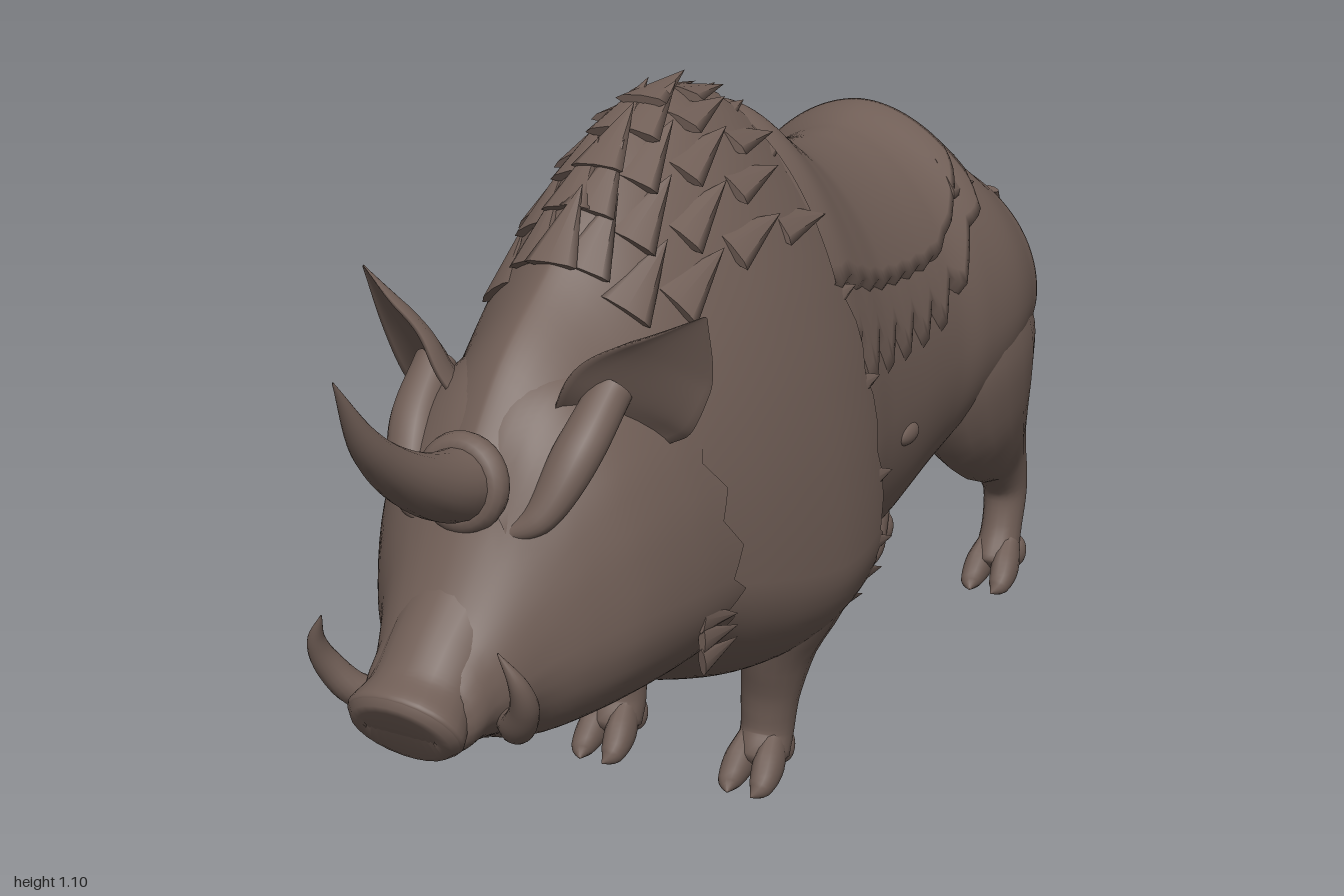
import * as THREE from 'three';
import { mergeVertices, mergeGeometries } from 'three/addons/utils/BufferGeometryUtils.js';
import { ParametricGeometry } from 'three/addons/geometries/ParametricGeometry.js';

const hide = new THREE.MeshStandardMaterial({ color: 0x705e56, side: THREE.DoubleSide });
hide.name = 'brown hide';
const V = (x, y, z) => new THREE.Vector3(x, y, z);
const clamp = THREE.MathUtils.clamp;

// Smooth surface from a rule, welded along its seams
function surface(fn, nu, nv) {
  const g = new ParametricGeometry(fn, nu, nv);
  g.deleteAttribute('normal');
  g.deleteAttribute('uv');
  const m = mergeVertices(g, 1e-4);
  m.computeVertexNormals();
  return m;
}

// Rows are [z, bottom, top, half width, height of widest point]; smooth lookup by z
function rowAt(rows, z) {
  let i = 0;
  while (i < rows.length - 2 && z < rows[i + 1][0]) i++;
  const slope = (k, c) => {
    const a = rows[Math.max(k - 1, 0)], b = rows[Math.min(k + 1, rows.length - 1)];
    return (b[c] - a[c]) / (b[0] - a[0]);
  };
  const h = rows[i + 1][0] - rows[i][0], t = clamp((z - rows[i][0]) / h, 0, 1);
  return [1, 2, 3, 4].map(c =>
    rows[i][c] * (1 + 2 * t) * (1 - t) ** 2 + slope(i, c) * h * t * (1 - t) ** 2 +
    rows[i + 1][c] * t * t * (3 - 2 * t) + slope(i + 1, c) * h * t * t * (t - 1));
}

// Point on a trunk section; angle 0 is the spine, PI the belly; pinch narrows the back
function skin({ rows, pinch }, z, a, off = 0) {
  const [b, t, w, m] = rowAt(rows, z), mid = b + (t - b) * m;
  const s = Math.sin(a), c = Math.cos(a);
  return V((Math.max(w, 0) + off) * Math.sign(s) * Math.abs(s) ** (c > 0 ? pinch : 1),
    mid + c * ((c > 0 ? t - mid : mid - b) + off), z);
}

const zigzag = x => 1 - 2 * Math.abs(x - Math.floor(x) - 0.5);

function trunk(part, endZ, teeth = 0, depth = 0, nu = 40) {
  const z0 = part.rows[0][0];
  return surface((u, v, p) => {
    const a = -2 * Math.PI * v, end = endZ(a) - depth * zigzag(v * teeth);
    p.copy(skin(part, z0 + (end - z0) * u, a));
  }, nu, 96);
}

// Limb along rows of [x, y, z, radius across, radius fore-aft]; cup hollows and turns it forward, for ears
function limb(rows, side = 1, cup = 0, nu = 28, nv = 18) {
  const path = new THREE.CatmullRomCurve3(rows.map(r => V(r[0] * side, r[1], r[2])));
  const radii = new THREE.CatmullRomCurve3(rows.map(r => V(r[3], r[4], 0)));
  return surface((u, v, p) => {
    const T = path.getTangent(u), S = V(1, 0, 0).addScaledVector(T, -T.x).normalize();
    const U = T.clone().cross(S), r = radii.getPoint(u), a = -2 * Math.PI * v;
    let c = Math.cos(a);
    if (cup) {
      S.addScaledVector(U, -side).normalize();
      U.crossVectors(T, S);
      if (c * side > 0) c *= -cup;
    }
    p.copy(path.getPoint(u)).addScaledVector(S, c * Math.max(r.x, 0))
      .addScaledVector(U, Math.sin(a) * Math.max(r.y, 0));
    p.y = Math.max(p.y, 0);
  }, nu, nv);
}

// Flat pointed tuft of hair, its middle at pos
function tuft(pos, dir, normal, length, width, thick = 0.3) {
  const y = dir.clone().normalize(), x = y.clone().cross(normal).normalize(), z = x.clone().cross(y);
  return new THREE.ConeGeometry(width, length, 8).scale(1, 1, thick)
    .applyMatrix4(new THREE.Matrix4().makeBasis(x, y, z).setPosition(pos));
}

const ball = (x, y, z, rx, ry, rz) => new THREE.SphereGeometry(1, 20, 14).scale(rx, ry, rz).translate(x, y, z);

const MANE = { pinch: 1.35, rows: [[0.72, 0.45, 0.66, 0.08, 0.4], [0.62, 0.3, 0.79, 0.17, 0.33],
  [0.5, 0.27, 0.885, 0.21, 0.28], [0.4, 0.26, 0.975, 0.235, 0.25], [0.3, 0.22, 1.04, 0.258, 0.24],
  [0.2, 0.19, 1.08, 0.274, 0.23], [0.1, 0.18, 1.075, 0.282, 0.23], [0, 0.185, 1.04, 0.275, 0.25],
  [-0.08, 0.19, 1.0, 0.255, 0.28]] };
const BODY = { pinch: 1.08, rows: [[0.12, 0.2, 0.98, 0.225, 0.36], [0, 0.2, 1.01, 0.23, 0.38],
  [-0.08, 0.2, 0.965, 0.228, 0.4], [-0.16, 0.21, 0.92, 0.22, 0.43], [-0.3, 0.23, 0.89, 0.215, 0.45],
  [-0.42, 0.27, 0.89, 0.217, 0.45], [-0.5, 0.31, 0.89, 0.232, 0.45], [-0.6, 0.36, 0.86, 0.242, 0.45],
  [-0.68, 0.4, 0.815, 0.23, 0.45], [-0.74, 0.42, 0.78, 0.205, 0.45], [-0.772, 0.47, 0.72, 0.13, 0.45],
  [-0.785, 0.58, 0.6, 0, 0.45]] };
const HEAD = { pinch: 1.05, rows: [[0.87, 0.36, 0.38, 0, 0.5], [0.85, 0.31, 0.43, 0.075, 0.45],
  [0.79, 0.305, 0.5, 0.1, 0.42], [0.73, 0.295, 0.6, 0.13, 0.4], [0.67, 0.27, 0.72, 0.175, 0.38],
  [0.6, 0.265, 0.785, 0.215, 0.37], [0.5, 0.265, 0.81, 0.24, 0.36], [0.4, 0.27, 0.79, 0.25, 0.36],
  [0.34, 0.28, 0.77, 0.252, 0.36]] };

export function createModel() {
  const model = new THREE.Group();
  const add = (name, ...parts) => {
    const geos = parts.map(g => {
      const n = g.index ? g.toNonIndexed() : g;
      n.deleteAttribute('uv');
      return n;
    });
    const mesh = new THREE.Mesh(mergeGeometries(geos), hide);
    mesh.name = name;
    model.add(mesh);
  };

  // Trunk, shaggy forequarters and head, each overlapping the one behind with a ragged edge
  add('body', trunk(BODY, () => -0.785, 0, 0, 70));
  add('mane', trunk(MANE, a => 0.06 - 0.065 * Math.abs(Math.sin(a)), 32, 0.025));
  add('head', trunk(HEAD, a => 0.415 + 0.05 * Math.max(Math.cos(a), 0), 24, 0.035));

  // Broad flat tufts over the hump, then a fringe along its back edge
  const hump = [];
  for (let r = 0; r < 6; r++) for (let i = -2; i <= 2; i++) {
    const a = (i + (r % 2) * 0.5) * 0.3, z = 0.44 - r * 0.068 - Math.abs(a) * 0.05;
    const n = V(Math.sin(a), Math.cos(a), 0);
    const slope = (skin(MANE, z - 0.03, a).y - skin(MANE, z + 0.03, a).y) / 0.06;
    hump.push(tuft(skin(MANE, z, a, 0.002), V(n.x * 0.2, slope + n.y * 0.15, -1), n, 0.13, 0.042, 0.2));
  }
  add('humpTufts', ...hump);
  const edge = [];
  for (let i = -9; i <= 9; i++) {
    const a = i * 0.24, n = V(Math.sin(a), Math.cos(a), 0);
    edge.push(tuft(skin(MANE, 0.04 - 0.055 * Math.abs(Math.sin(a)), a), V(n.x * 0.2, n.y * 0.1, -1), n, 0.055, 0.02));
  }
  add('maneFringe', ...edge);

  // Saddle blanket with a toothed hem, and a padded seat rising to a cantle
  const saddle = (limit, back, teeth, depth, off) => surface((u, v, p) => {
    const z = 0.03 + (back - 0.03) * u, k = 1 - 2 * v;
    const taper = Math.sqrt(1 - 0.75 * clamp((-z - 0.34) / (-back - 0.34), 0, 1) ** 2);
    const lift = off + 0.022 * THREE.MathUtils.smoothstep(-z, 0.38, 0.5);
    const a = k * (limit + depth * zigzag(u * teeth)) * taper;
    p.copy(skin(BODY, z, a, Math.abs(k) === 1 || u === 1 ? -0.01 : lift));
  }, teeth * 6, 40);
  add('saddleBlanket', saddle(1.24, -0.53, 8, 0.16, 0.012));
  add('saddleSeat', saddle(1.06, -0.5, 10, 0.02, 0.024));
  const cantle = [];
  for (let i = -4; i <= 4; i++) {
    const a = i * 0.19, n = V(Math.sin(a), Math.cos(a), 0);
    cantle.push(tuft(skin(BODY, -0.53 + Math.abs(a) * 0.04, a, 0.02), V(n.x * 0.2, -0.2, -1), n, 0.1, 0.036));
  }
  add('cantleTufts', ...cantle);

  // Ragged hair under the belly, brisket and chin
  const under = [];
  const fringe = (part, from, to, count, size) => {
    for (let i = 0; i < count; i++) {
      const z = from + (to - from) * i / (count - 1);
      under.push(tuft(skin(part, z, Math.PI + (i % 3 - 1) * 0.1), V(0, -0.6, -1), V(0, -1, 0.6), size, size * 0.45));
    }
  };
  fringe(BODY, -0.02, -0.48, 16, 0.05);
  fringe(MANE, 0.4, 0.05, 12, 0.05);
  fringe(HEAD, 0.72, 0.44, 9, 0.045);
  add('bellyHair', ...under);

  // Snout with a slanted flat end, brow horn and its collar
  add('snout', limb([[0, 0.47, 0.7, 0.09, 0.09], [0, 0.42, 0.78, 0.08, 0.073], [0, 0.385, 0.83, 0.077, 0.062],
    [0, 0.362, 0.866, 0.088, 0.068], [0, 0.358, 0.872, 0.084, 0.065], [0, 0.358, 0.872, 0, 0]], 1, 0, 30, 24));
  add('horn', limb([[0, 0.655, 0.64, 0.055, 0.055], [0, 0.655, 0.74, 0.051, 0.05], [0, 0.695, 0.84, 0.041, 0.038],
    [0, 0.765, 0.93, 0.025, 0.023], [0, 0.87, 1.0, 0.001, 0.001]]));
  add('hornCollar', new THREE.TorusGeometry(0.05, 0.02, 12, 28).rotateX(-0.15).translate(0, 0.652, 0.715));

  for (const s of [1, -1]) {
    const side = s > 0 ? 'left' : 'right';
    add(side + 'Ear', limb([[0.12, 0.69, 0.56, 0.04, 0.08], [0.165, 0.735, 0.56, 0.042, 0.1],
      [0.222, 0.797, 0.55, 0.034, 0.072], [0.272, 0.872, 0.54, 0.002, 0.003]], s, 0.3));
    add(side + 'Tusk', limb([[0.08, 0.35, 0.74, 0.022, 0.022], [0.125, 0.355, 0.79, 0.024, 0.024],
      [0.155, 0.4, 0.82, 0.02, 0.02], [0.158, 0.44, 0.84, 0.013, 0.013], [0.138, 0.485, 0.855, 0.001, 0.001]], s));
    add(side + 'Brow', limb([[0.06, 0.585, 0.71, 0.01, 0.01], [0.1, 0.61, 0.69, 0.024, 0.02],
      [0.13, 0.69, 0.635, 0.035, 0.03], [0.14, 0.76, 0.56, 0.03, 0.03]], s));
    add(side + 'CheekTuft', ...[0, 1, 2].map(i =>
      tuft(V(0.24 * s, 0.36 + i * 0.025, 0.44), V(0.2 * s, 0.2 - i * 0.2, -1), V(s, 0, 0), 0.08, 0.022)));
    add(side + 'FlankNub', ball(0.21 * s, 0.475, -0.23, 0.014, 0.018, 0.035));

    add(side + 'FrontLeg', limb([[0.14, 0.56, 0.06, 0.03, 0.06], [0.172, 0.46, 0.07, 0.09, 0.125],
      [0.172, 0.33, 0.08, 0.086, 0.11], [0.15, 0.22, 0.085, 0.054, 0.075], [0.135, 0.14, 0.085, 0.045, 0.048],
      [0.13, 0.08, 0.085, 0.041, 0.044], [0.13, 0.045, 0.1, 0.041, 0.045], [0.13, 0.02, 0.105, 0, 0]], s));
    add(side + 'HindLeg', limb([[0.12, 0.7, -0.58, 0.02, 0.06], [0.13, 0.61, -0.605, 0.085, 0.145],
      [0.143, 0.51, -0.615, 0.098, 0.165], [0.143, 0.42, -0.645, 0.09, 0.145], [0.138, 0.34, -0.705, 0.07, 0.105],
      [0.13, 0.265, -0.785, 0.047, 0.064], [0.128, 0.19, -0.825, 0.038, 0.041], [0.128, 0.12, -0.815, 0.035, 0.037],
      [0.128, 0.06, -0.79, 0.038, 0.041], [0.128, 0.04, -0.78, 0, 0]], s, 0, 40));
    add(side + 'Hock', tuft(V(0.128 * s, 0.25, -0.85), V(0, 0.45, -1), V(0, 1, 0.45), 0.1, 0.04, 0.9));

    // Cloven hooves with dewclaws
    for (const [name, z, y] of [['FrontHoof', 0.1, 0], ['HindHoof', -0.8, 0.02]]) {
      const toes = [-1, 1].flatMap(k => [
        limb([[0.13 + k * 0.02, y + 0.075, z - 0.005, 0.015, 0.025], [0.13 + k * 0.024, y + 0.04, z + 0.025, 0.023, 0.033],
          [0.13 + k * 0.026, y + 0.014, z + 0.06, 0.018, 0.018], [0.13 + k * 0.02, y + 0.005, z + 0.078, 0.001, 0.001]], s, 0, 12, 12),
        ball((0.13 + k * 0.022) * s, y + 0.05, z - 0.03, 0.016, 0.028, 0.02)]);
      add(side + name, ...toes);
    }

    // Hair down the back of the thigh
    const thigh = [];
    for (let i = 0; i < 9; i++)
      thigh.push(tuft(V((0.13 + 0.05 * Math.sin(i * 0.35)) * s, 0.72 - i * 0.043, -0.75 - 0.01 * Math.sin(i * 0.4)),
        V(0.2 * s, -0.9, -0.4), V(0.5 * s, 0.3, -0.8), 0.06, 0.02));
    add(side + 'ThighFringe', ...thigh);
  }

  // Tail with a tufted end
  add('tail', limb([[0, 0.75, -0.66, 0.03, 0.03], [0, 0.79, -0.73, 0.02, 0.018], [0, 0.775, -0.81, 0.014, 0.014],
    [0, 0.7, -0.885, 0.012, 0.012], [0, 0.6, -0.94, 0.012, 0.014], [0, 0.52, -0.965, 0.027, 0.033],
    [0, 0.465, -0.98, 0.02, 0.023], [0, 0.425, -0.998, 0.001, 0.001]], 1, 0, 48));
  return model;
}
